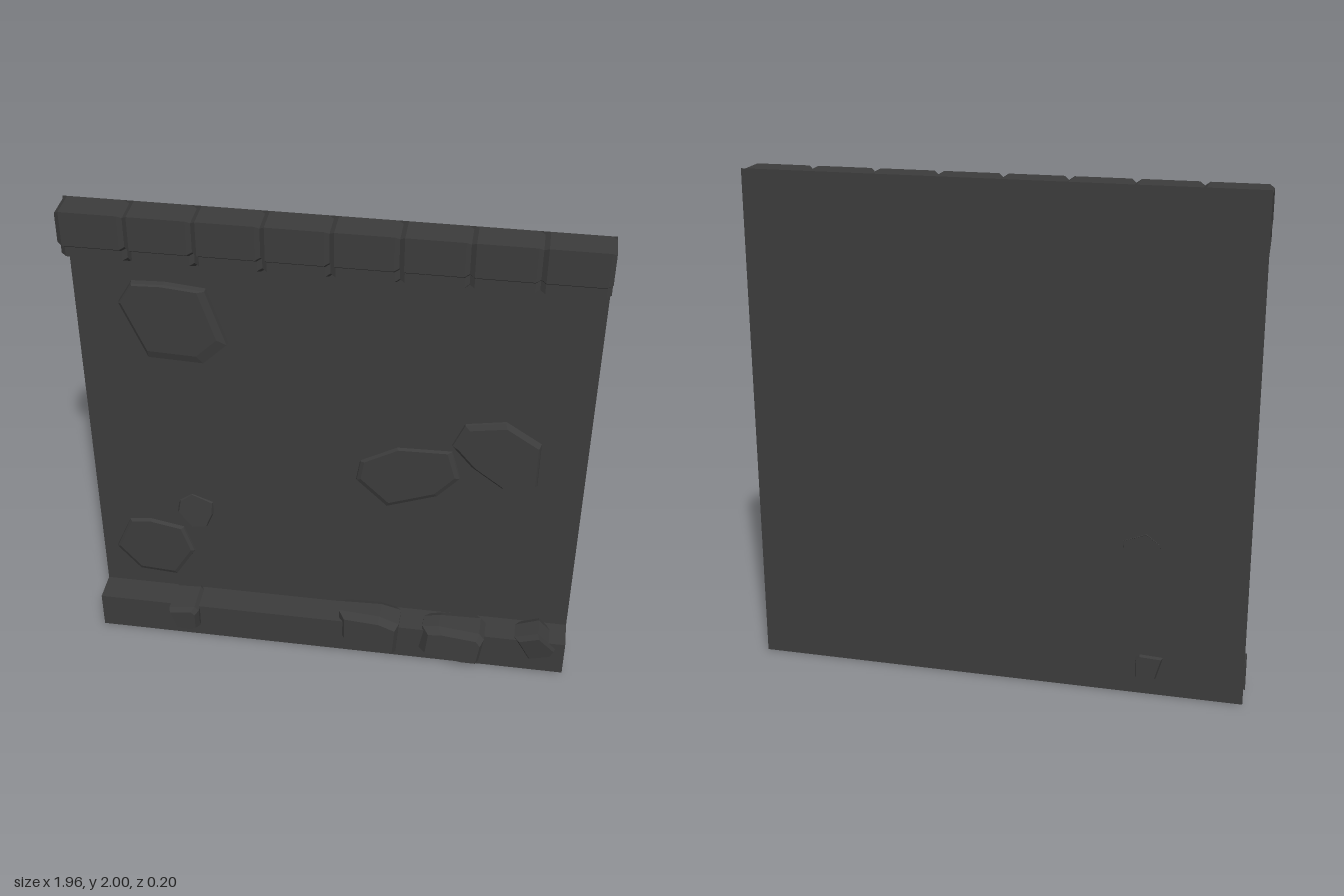
import * as THREE from 'three';

const BACK = -0.09, FRONT = 0.03, HALF = 0.98;

// Skin a series of equal-length rings of [x, y, z] points
function loft(rings, { closed = false, capStart = false, capEnd = false } = {}) {
  const n = rings[0].length, index = [];
  for (let i = 0; i < rings.length - 1; i++) {
    for (let j = 0; j < (closed ? n : n - 1); j++) {
      const k = (j + 1) % n;
      const a = i * n + j, b = i * n + k, c = b + n, d = a + n;
      index.push(a, b, c, a, c, d);
    }
  }
  const last = (rings.length - 1) * n;
  for (let j = 1; j < n - 1; j++) {
    if (capStart) index.push(0, j + 1, j);
    if (capEnd) index.push(last, last + j, last + j + 1);
  }
  const geo = new THREE.BufferGeometry();
  geo.setAttribute('position', new THREE.Float32BufferAttribute(rings.flat(2), 3));
  geo.setIndex(index);
  const flat = geo.toNonIndexed();
  flat.computeVertexNormals();
  return flat;
}

// Stone from an anticlockwise outline; layers are [scale, z], the front ones may tilt
function stoneGeometry(outline, layers, { tilt = [0, 0], shift = [0, 0], solid = false } = {}) {
  const cx = outline.reduce((s, p) => s + p[0], 0) / outline.length;
  const cy = outline.reduce((s, p) => s + p[1], 0) / outline.length;
  const rings = layers.map(([s, z], i) => {
    const t = i >= layers.length - 2 ? 1 : 0;
    const m = i === layers.length - 1 ? 1 : 0;
    return outline.map(([x, y]) => {
      const dx = (x - cx) * s, dy = (y - cy) * s;
      return [cx + dx + shift[0] * m, cy + dy + shift[1] * m, z + t * (tilt[0] * dx + tilt[1] * dy)];
    });
  });
  return loft(rings, { closed: true, capStart: solid, capEnd: true });
}

export function createModel() {
  const model = new THREE.Group();
  model.name = 'stoneWall';
  const material = new THREE.MeshStandardMaterial({ color: 0x3c3c3c, flatShading: true, side: THREE.DoubleSide });
  const add = (name, geo, parent = model) => {
    const mesh = new THREE.Mesh(geo, material);
    mesh.name = name;
    parent.add(mesh);
    return mesh;
  };

  // Thin wall sheet
  add('wallPanel', new THREE.PlaneGeometry(2 * HALF, 2)).position.set(0, 1, BACK);

  // Base ledge: front strip and top strip, open at the ends
  const ledge = [[BACK, 0.16], [FRONT, 0.16], [FRONT, 0]];
  add('baseLedge', loft([-HALF, HALF].map(x => ledge.map(([z, y]) => [x, y, z]))));

  // Row of coping blocks with chamfered ends
  const outer = [[BACK, 2], [FRONT, 2], [FRONT, 1.865], [0, 1.845], [0, 1.805], [BACK, 1.752]];
  const inner = [[BACK, 1.988], [0.018, 1.988], [0.018, 1.872], [-0.012, 1.852], [-0.012, 1.812], [BACK, 1.766]];
  const coping = new THREE.Group();
  coping.name = 'coping';
  model.add(coping);
  const count = 8, w = 2 * HALF / count, bevel = 0.018;
  for (let i = 0; i < count; i++) {
    const x0 = -HALF + i * w, x1 = x0 + w;
    const sections = [[x0, inner], [x0 + bevel, outer], [x1 - bevel, outer], [x1, inner]];
    add('copingBlock', loft(sections.map(([x, p]) => p.map(([z, y]) => [x, y, z]))), coping);
  }

  // Flat stones set into the wall face
  const wallStones = [
    { z: -0.06, scale: 0.87, shift: [-0.012, 0.012], tilt: [0, 0], outline: [[-0.81, 1.58], [-0.71, 1.345],
      [-0.495, 1.337], [-0.4, 1.43], [-0.475, 1.66], [-0.63, 1.675], [-0.755, 1.67]] },
    { z: -0.072, scale: 0.9, shift: [0.008, -0.006], tilt: [0.01, 0.01], outline: [[0.46, 1.045], [0.54, 0.95],
      [0.665, 0.858], [0.8, 0.885], [0.8, 1.087], [0.66, 1.177], [0.505, 1.15]] },
    { z: -0.074, scale: 0.9, shift: [0, 0.008], tilt: [0, -0.02], outline: [[0.09, 0.835], [0.215, 0.716],
      [0.415, 0.79], [0.5, 0.886], [0.463, 1.013], [0.25, 1.008], [0.105, 0.928]] },
    { z: -0.073, scale: 0.9, shift: [0, 0.006], tilt: [0, -0.02], outline: [[-0.923, 0.355], [-0.828, 0.244],
      [-0.67, 0.233], [-0.585, 0.371], [-0.627, 0.493], [-0.765, 0.52], [-0.855, 0.51]] },
    { z: -0.079, scale: 0.92, shift: [0, 0], tilt: [0, -0.09], outline: [[-0.648, 0.578], [-0.59, 0.504],
      [-0.526, 0.515], [-0.5, 0.578], [-0.495, 0.642], [-0.585, 0.678], [-0.638, 0.637]] },
  ];
  for (const { outline, z, scale, shift, tilt } of wallStones) {
    add('wallStone', stoneGeometry(outline, [[1, BACK], [0.985, z - 0.009], [scale, z]], { tilt, shift }));
  }

  // Chunky stones poking out of the base ledge
  const baseStones = [
    { back: -0.103, front: 0.083, tilt: [-0.1, 0.05], shift: [-0.005, 0.005], outline: [[-0.675, 0.17],
      [-0.645, 0.065], [-0.575, 0.05], [-0.553, 0.065], [-0.553, 0.155], [-0.57, 0.175]] },
    { back: -0.08, front: 0.055, tilt: [0.12, -0.05], shift: [0.005, -0.008], outline: [[0.04, 0.08],
      [0.155, 0.047], [0.283, 0.035], [0.293, 0.185], [0.21, 0.207], [0.037, 0.2]] },
    { back: -0.07, front: 0.075, tilt: [0.15, -0.1], shift: [0.005, -0.01], outline: [[0.378, 0.06],
      [0.56, 0.05], [0.632, 0.06], [0.648, 0.17], [0.627, 0.195], [0.457, 0.19], [0.39, 0.175]] },
    { back: -0.08, front: 0.053, tilt: [0.04, 0.1], shift: [0.005, 0.008], outline: [[0.77, 0.17],
      [0.83, 0.055], [0.925, 0.09], [0.942, 0.13], [0.865, 0.208]] },
  ];
  for (const { outline, back, front, tilt, shift } of baseStones) {
    const layers = [[0.8, back], [1, back + 0.03], [1, front - 0.03], [0.84, front]];
    add('baseStone', stoneGeometry(outline, layers, { tilt, shift, solid: true }));
  }

  return model;
}
